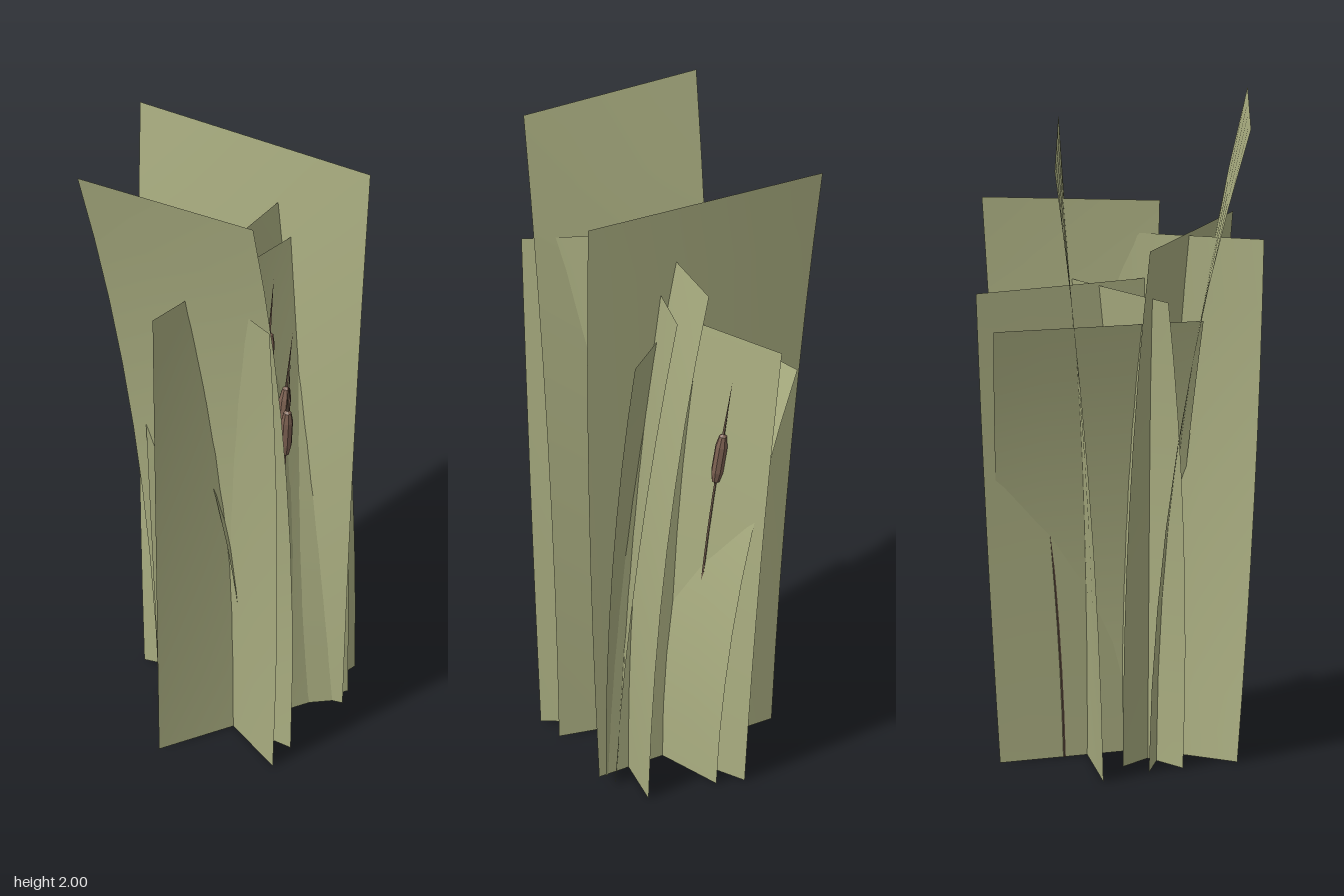
import * as THREE from 'three';

const leafMat = new THREE.MeshStandardMaterial({ color: 0xa9ad80, side: THREE.DoubleSide });
const podMat = new THREE.MeshStandardMaterial({ color: 0x7d6152, flatShading: true });
const stemMat = new THREE.MeshStandardMaterial({ color: 0x6a5647, flatShading: true });

// Leaf sheet between a bottom edge and a top edge, each [x1, z1, x2, z2]:
// width and twist change evenly with height, the lean grows quadratically.
function leafSheet(height, bottom, top) {
  const measure = ([x1, z1, x2, z2]) => ({
    cx: (x1 + x2) / 2, cz: (z1 + z2) / 2,
    half: Math.hypot(x2 - x1, z2 - z1) / 2,
    angle: Math.atan2(z2 - z1, x2 - x1),
  });
  const b = measure(bottom), t = measure(top);
  const geo = new THREE.PlaneGeometry(2, 1, 4, 8);
  const pos = geo.attributes.position;
  const mix = THREE.MathUtils.lerp;
  for (let i = 0; i < pos.count; i++) {
    const u = pos.getX(i), v = pos.getY(i) + 0.5;
    const half = mix(b.half, t.half, v), a = mix(b.angle, t.angle, v);
    pos.setXYZ(i,
      mix(b.cx, t.cx, v * v) + u * half * Math.cos(a),
      v * height,
      mix(b.cz, t.cz, v * v) + u * half * Math.sin(a));
  }
  geo.computeVertexNormals();
  return new THREE.Mesh(geo, leafMat);
}

// Reed: curved stem, seed pod and a pointed tip above it
function reed([bx, bz], [px, pz], podY) {
  const group = new THREE.Group();
  const base = new THREE.Vector3(bx, 0, bz);
  const pod = new THREE.Vector3(px, podY, pz);
  const bend = new THREE.Vector3(bx + (px - bx) * 0.15, podY * 0.5, bz + (pz - bz) * 0.15);
  const curve = new THREE.QuadraticBezierCurve3(base, bend, pod);
  const dir = curve.getTangent(1);
  const up = new THREE.Quaternion().setFromUnitVectors(new THREE.Vector3(0, 1, 0), dir);

  const stem = new THREE.Mesh(new THREE.TubeGeometry(curve, 8, 0.004, 4), stemMat);
  stem.name = 'reedStem';

  const profile = [[0, -0.09], [0.012, -0.08], [0.019, -0.045], [0.019, 0.045], [0.012, 0.08], [0, 0.09]]
    .map(([r, y]) => new THREE.Vector2(r, y));
  const head = new THREE.Mesh(new THREE.LatheGeometry(profile, 8), podMat);
  head.name = 'seedPod';
  head.position.copy(pod);
  head.quaternion.copy(up);

  const tip = new THREE.Mesh(new THREE.ConeGeometry(0.005, 0.21, 4), stemMat);
  tip.name = 'reedTip';
  tip.position.copy(pod).addScaledVector(dir, 0.17);
  tip.quaternion.copy(up);

  group.add(stem, head, tip);
  return group;
}

export function createModel() {
  const model = new THREE.Group();
  model.name = 'reedClump';

  // Crossing leaf sheets: name, height, bottom edge, top edge
  const leaves = [
    ['frontLeaf', 2.0, [-0.17, 0.09, 0.32, 0.142], [-0.27, 0.4, 0.325, 0.37]],
    ['backLeaf', 1.895, [-0.3, -0.042, 0.33, -0.145], [-0.4, -0.185, 0.395, -0.2]],
    ['frontLeftLeaf', 1.61, [-0.09, 0.01, 0.325, 0.255], [-0.215, 0.095, 0.355, 0.325]],
    ['rightLeaf', 1.36, [0.035, -0.34, 0.16, 0.12], [-0.22, -0.375, -0.04, 0.25]],
    ['leftLeaf', 1.705, [0.26, -0.335, 0.19, 0.055], [0.1, -0.42, 0.07, 0.115]],
    ['middleLeaf', 1.46, [-0.05, -0.36, 0.16, 0.08], [-0.14, -0.43, 0.155, 0.195]],
    ['longLeaf', 1.6, [-0.015, 0.35, 0.31, -0.21], [0.01, 0.43, 0.175, -0.36]],
    ['diagonalLeaf', 1.45, [-0.105, 0.19, 0.31, -0.15], [-0.2, 0.15, 0.29, -0.305]],
  ];
  for (const [name, height, bottom, top] of leaves) {
    const leaf = leafSheet(height, bottom, top);
    leaf.name = name;
    model.add(leaf);
  }

  // Reeds with seed pods: base, pod position, pod height
  const reeds = [
    [[0.165, 0.05], [0.2, -0.018], 1.08],
    [[0.17, -0.03], [0.228, 0.013], 1.03],
    [[0.12, 0.04], [0.14, -0.025], 1.25],
    [[0.1, 0.03], [0.058, 0.073], 1.1],
    [[0.04, -0.17], [-0.018, -0.255], 1.05],
  ];
  reeds.forEach(([base, pod, y], i) => {
    const r = reed(base, pod, y);
    r.name = `reed${i + 1}`;
    model.add(r);
  });

  return model;
}
